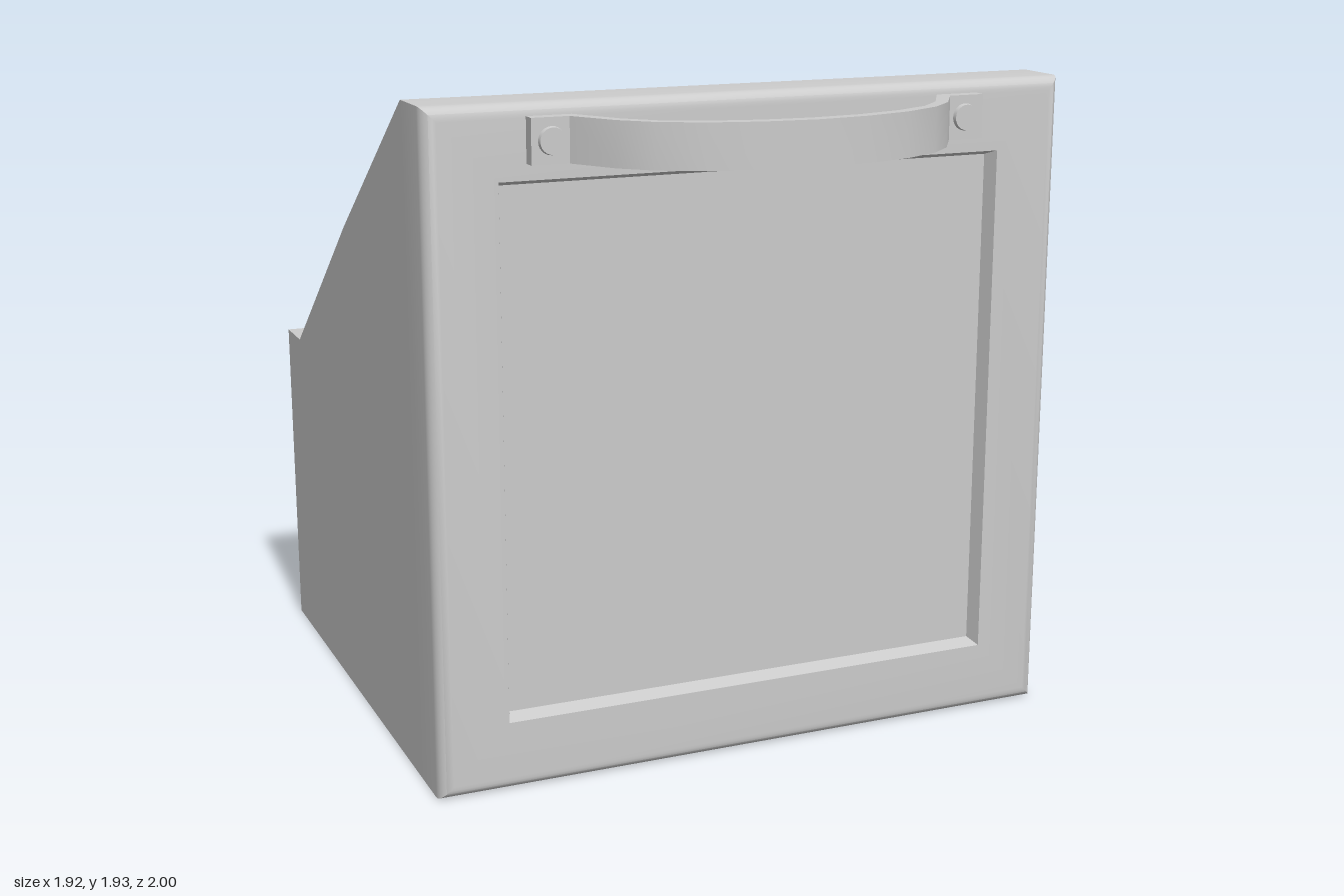
import * as THREE from 'three';
import { toCreasedNormals } from 'three/addons/utils/BufferGeometryUtils.js';

const material = new THREE.MeshStandardMaterial({ color: 0xcccccc });

function add(parent, name, geometry, x = 0, y = 0, z = 0) {
  const mesh = new THREE.Mesh(geometry, material);
  mesh.name = name;
  mesh.position.set(x, y, z);
  parent.add(mesh);
  return mesh;
}

const shapeOf = (points) => new THREE.Shape(points.map(([a, b]) => new THREE.Vector2(a, b)));

// Joins upright rectangles [halfWidth, bottom, top, z] into one skin
function rectangleLoft(loops) {
  const corners = loops.map(([w, b, t, z]) => [[-w, b, z], [w, b, z], [w, t, z], [-w, t, z]]);
  const positions = [];
  for (let k = 0; k < corners.length - 1; k++) {
    for (let i = 0; i < 4; i++) {
      const j = (i + 1) % 4, a = corners[k], b = corners[k + 1];
      positions.push(...a[i], ...a[j], ...b[j], ...a[i], ...b[j], ...b[i]);
    }
  }
  const geometry = new THREE.BufferGeometry();
  geometry.setAttribute('position', new THREE.Float32BufferAttribute(positions, 3));
  return toCreasedNormals(geometry, 0.6);
}

export function createModel() {
  const model = new THREE.Group();
  model.name = 'openBin';

  const W = 0.96, wall = 0.12, H = 1.93;
  const front = 0.645, inner = 0.455, back = -1, r = 0.04;

  // Front panel: flat back, rounded outer edge, recessed field
  const loops = [[0, H / 2, H / 2, inner], [W, 0, H, inner]];
  for (let i = 0; i <= 6; i++) {
    const a = (i / 6) * Math.PI / 2;
    const inset = r * (1 - Math.cos(a));
    loops.push([W - inset, inset, H - inset, front - r + r * Math.sin(a)]);
  }
  loops.push(
    [0.755, 0.205, 1.725, front],
    [0.74, 0.22, 1.71, front - 0.045],
    [0, 0.965, 0.965, front - 0.045],
  );
  add(model, 'frontPanel', rectangleLoft(loops));

  // Sloping side walls, drawn as (z, y) and given thickness along x
  const profile = [[back, 0], [inner, 0], [inner, H], [-0.2, 1.48], [-0.84, 1], [back, 1]];
  const side = new THREE.ExtrudeGeometry(shapeOf(profile), { depth: wall, bevelEnabled: false });
  side.rotateY(-Math.PI / 2);
  add(model, 'leftWall', side, W);
  add(model, 'rightWall', side, -W + wall);

  // Back wall and floor between the sides
  const innerWidth = 2 * (W - wall);
  add(model, 'backWall', new THREE.BoxGeometry(innerWidth, 1, 0.145), 0, 0.5, back + 0.0725);
  add(model, 'floor', new THREE.BoxGeometry(innerWidth, wall, inner - back), 0, wall / 2, (inner + back) / 2);

  // Bowed strap handle with flat end tabs, drawn as (x, z)
  const handle = new THREE.Group();
  handle.name = 'handle';
  model.add(handle);
  const outer = [[0.677, 0.645], [0.677, 0.685], [0.57, 0.685], [0.49, 0.81], [0.41, 0.885], [0.29, 0.947], [0.15, 0.985], [0, 1]];
  const under = [[0, 0.96], [0.14, 0.948], [0.28, 0.912], [0.39, 0.858], [0.465, 0.785], [0.55, 0.645]];
  const mirrored = (points) => points.map(([x, z]) => [-x, z]).reverse();
  const outline = [...outer, ...mirrored(outer).slice(1), ...mirrored(under), ...under.slice(1)];
  const strap = new THREE.ExtrudeGeometry(shapeOf(outline), { depth: 0.125, bevelEnabled: false });
  strap.rotateX(Math.PI / 2);
  add(handle, 'strap', toCreasedNormals(strap, 0.5), 0, 1.895, 0);

  // Rivets on the tabs
  const rivet = new THREE.CylinderGeometry(0.036, 0.04, 0.02, 24);
  rivet.rotateX(Math.PI / 2);
  for (const s of [1, -1]) add(handle, s > 0 ? 'leftRivet' : 'rightRivet', rivet, s * 0.62, 1.833, 0.687);

  return model;
}
